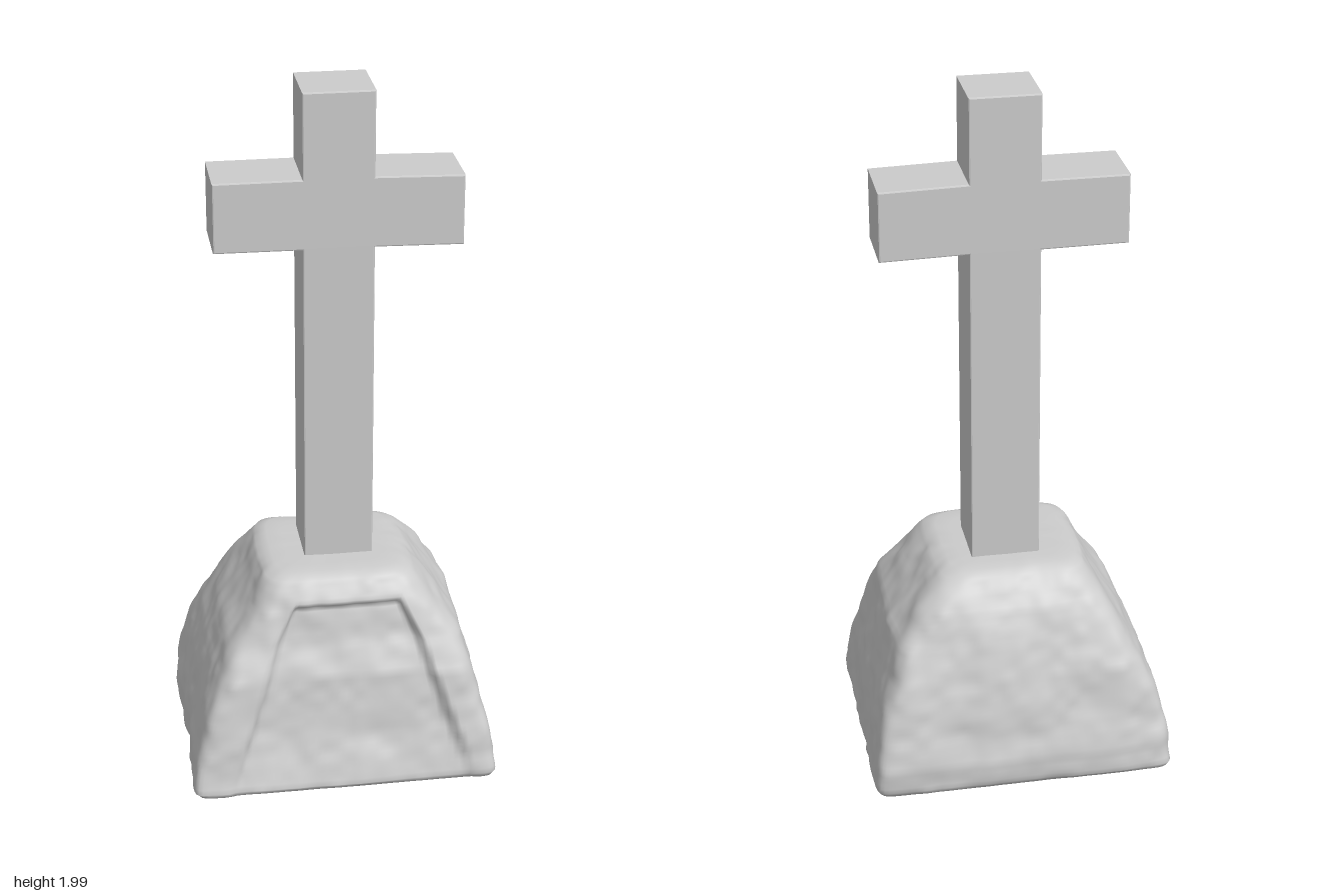
import * as THREE from 'three';

const { lerp, smoothstep } = THREE.MathUtils;

// Base profile, bottom to top: height, right (-x) and left (+x) reach, front and back reach, corner sharpness
const PROFILE = [
  [0.01, 0.375, 0.375, 0.325, 0.325, 30],
  [0.034, 0.425, 0.42, 0.372, 0.365, 30],
  [0.05, 0.437, 0.428, 0.38, 0.376, 28],
  [0.12, 0.433, 0.42, 0.368, 0.374, 22],
  [0.2, 0.414, 0.408, 0.35, 0.35, 18],
  [0.28, 0.396, 0.39, 0.335, 0.335, 14],
  [0.36, 0.367, 0.366, 0.322, 0.318, 12],
  [0.45, 0.322, 0.343, 0.284, 0.288, 9],
  [0.54, 0.262, 0.278, 0.254, 0.252, 7],
  [0.59, 0.232, 0.238, 0.226, 0.22, 6],
  [0.622, 0.208, 0.208, 0.203, 0.194, 6],
  [0.637, 0.175, 0.175, 0.172, 0.165, 6],
  [0.64, 0.1, 0.1, 0.1, 0.1, 6],
  [0.64, 0, 0, 0, 0, 6],
];
// Rows between successive profile points
const STEPS = [2, 2, 5, 6, 6, 6, 7, 7, 5, 3, 2, 2, 1];

// Repeatable smooth noise in -1..1, blended from hashed lattice corners
function noise(x, y, z) {
  const cell = [x, y, z].map(Math.floor);
  const t = [x, y, z].map((v, i) => smoothstep(v - cell[i], 0, 1));
  let sum = 0;
  for (let c = 0; c < 8; c++) {
    const bit = [c & 1, (c >> 1) & 1, c >> 2];
    const weight = bit.reduce((w, b, i) => w * (b ? t[i] : 1 - t[i]), 1);
    const [i, j, k] = bit.map((b, n) => cell[n] + b);
    const hash = Math.sin(i * 127.1 + j * 311.7 + k * 74.7) * 43758.5453;
    sum += weight * (hash - Math.floor(hash));
  }
  return sum * 2 - 1;
}

// Broad dents, medium lumps and fine grain of the stone
const rough = (x, y, z) =>
  0.006 * noise(x * 5, y * 5, z * 5) +
  0.007 * noise(x * 11 + 7, y * 11, z * 11) +
  0.003 * noise(x * 28, y * 28 + 3, z * 28);

// Depth of the sunken trapezoid panel on the front
function panelDepth(x, y) {
  const half = y > 0.46 ? lerp(0.2, 0.15, (y - 0.46) / 0.1) : lerp(0.345, 0.2, (y - 0.05) / 0.41);
  const inside = Math.min(half - Math.abs(x - 0.012), 0.56 - y);
  return smoothstep(inside, -0.005, 0.012) * lerp(0.006, 0.026, smoothstep(y, 0.04, 0.2));
}

// Hollow rough mound: rounded rectangular rings, open underneath
function moundGeometry() {
  const N = 56, ring = N * 4, rows = [];
  PROFILE.slice(0, -1).forEach((a, i) => {
    for (let s = 0; s < STEPS[i]; s++)
      rows.push(a.map((v, c) => lerp(v, PROFILE[i + 1][c], s / STEPS[i])));
  });
  rows.push(PROFILE[PROFILE.length - 1]);

  const pos = [], index = [];
  rows.forEach(([h, xRight, xLeft, zFront, zBack, p], r) => {
    for (let k = 0; k < ring; k++) {
      const side = Math.floor(k / N), f = ((k % N) / N) * 2 - 1;
      const [u, v] = [[1, f], [-f, 1], [-1, -f], [f, -1]][side];
      const round = (Math.abs(u) ** p + Math.abs(v) ** p) ** (-1 / p);
      let x = u * round * (u > 0 ? xLeft : xRight);
      let z = v * round * (v > 0 ? zFront : zBack);
      const n = rough(x, h, z), grow = Math.min(1, xLeft / 0.2);
      x += u * n * grow;
      z += v * n * grow;
      if (side === 1) z -= panelDepth(x, h);
      const y = h + (h > 0.6 ? 0.2 * n * grow : h < 0.05 ? 0.5 * n : 0);
      pos.push(x, y, z);
      if (r < rows.length - 1) {
        const a = r * ring + k, b = r * ring + ((k + 1) % ring);
        index.push(a, a + ring, b, b, a + ring, b + ring);
      }
    }
  });
  const g = new THREE.BufferGeometry();
  g.setAttribute('position', new THREE.Float32BufferAttribute(pos, 3));
  g.setIndex(index);
  g.computeVertexNormals();
  return g;
}

// Latin cross outline, extruded with slightly worn edges
function crossGeometry() {
  const b = 0.004;
  const outline = [
    [-0.09, 0.61], [0.105, 0.61], [0.105, 1.565], [0.347, 1.56], [0.347, 1.757], [0.105, 1.763],
    [0.105, 2], [-0.09, 2], [-0.09, 1.763], [-0.33, 1.763], [-0.33, 1.567], [-0.09, 1.565],
  ];
  const shape = new THREE.Shape(outline.map(([x, y]) => new THREE.Vector2(x, y)));
  const g = new THREE.ExtrudeGeometry(shape, {
    depth: 0.19 - 2 * b, bevelEnabled: true, bevelThickness: b, bevelSize: b, bevelOffset: -b, bevelSegments: 2,
  });
  return g.translate(0, 0, -0.1 + b);
}

export function createModel() {
  const group = new THREE.Group();
  const add = (name, geometry, side) => {
    const mesh = new THREE.Mesh(geometry, new THREE.MeshStandardMaterial({ color: 0xcccccc, side }));
    mesh.name = name;
    group.add(mesh);
  };
  add('stoneBase', moundGeometry(), THREE.DoubleSide);
  add('cross', crossGeometry(), THREE.FrontSide);
  return group;
}
